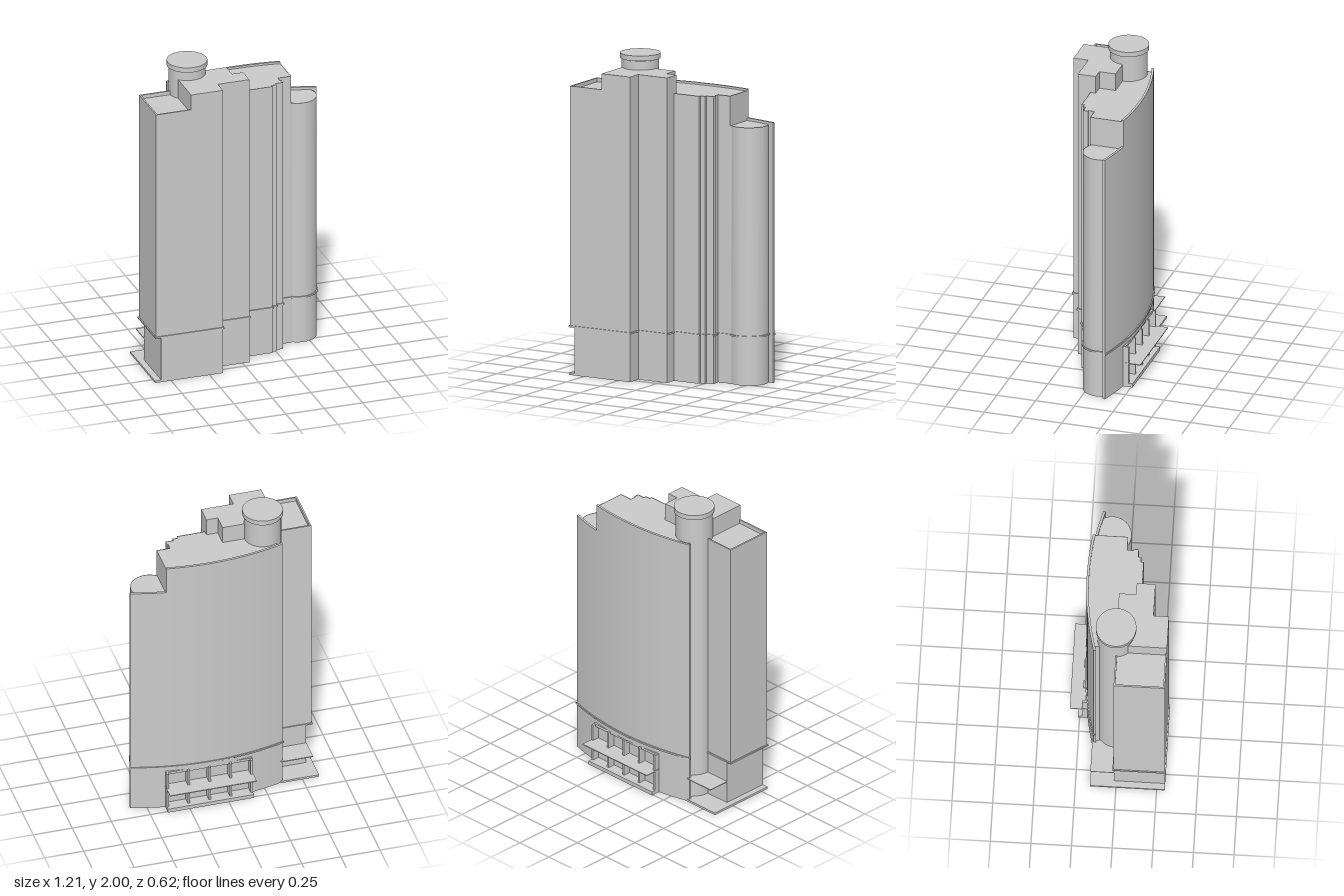
import * as THREE from 'three';

const mat = new THREE.MeshStandardMaterial({ color: 0xcccccc, side: THREE.DoubleSide });

// Curved rear wall: z of its outer face at a given x
const R = 1.69;
const rearZ = (x, inset = 0) => 1.468 - Math.sqrt((R - inset) ** 2 - (x - 0.11) ** 2);
function rearArc(x0, x1, inset = 0, n = 24) {
  return Array.from({ length: n + 1 }, (_, i) => {
    const x = x0 + (x1 - x0) * i / n;
    return [x, rearZ(x, inset)];
  });
}

export function createModel() {
  const model = new THREE.Group();

  function add(name, geometry) {
    const mesh = new THREE.Mesh(geometry, mat);
    mesh.name = name;
    model.add(mesh);
    return mesh;
  }

  // Box given by its limits
  function box(name, x0, x1, y0, y1, z0, z1) {
    const g = new THREE.BoxGeometry(x1 - x0, y1 - y0, z1 - z0);
    add(name, g.translate((x0 + x1) / 2, (y0 + y1) / 2, (z0 + z1) / 2));
  }

  // Solid from a plan outline of [x, z] points
  function prism(name, plan, y0, y1) {
    const shape = new THREE.Shape(plan.map(([x, z]) => new THREE.Vector2(x, z)));
    const g = new THREE.ExtrudeGeometry(shape, { depth: y1 - y0, bevelEnabled: false });
    add(name, g.rotateX(Math.PI / 2).translate(0, y1, 0));
  }

  // Upright sheet along a plan path
  function wall(name, path, y0, y1, smooth = false) {
    const pos = [], idx = [];
    path.forEach(([x, z], i) => {
      pos.push(x, y0, z, x, y1, z);
      const a = 2 * i;
      if (i < path.length - 1) idx.push(a, a + 2, a + 3, a, a + 3, a + 1);
    });
    let g = new THREE.BufferGeometry();
    g.setAttribute('position', new THREE.Float32BufferAttribute(pos, 3));
    g.setIndex(idx);
    if (!smooth) g = g.toNonIndexed();
    g.computeVertexNormals();
    add(name, g);
  }

  // Thin rail of boxes along a plan path
  function rail(name, path, y0, y1, t) {
    const group = new THREE.Group();
    group.name = name;
    for (let i = 0; i < path.length - 1; i++) {
      const [ax, az] = path[i], [bx, bz] = path[i + 1];
      const g = new THREE.BoxGeometry(Math.hypot(bx - ax, bz - az) + t, y1 - y0, t);
      const mesh = new THREE.Mesh(g, mat);
      mesh.position.set((ax + bx) / 2, (y0 + y1) / 2, (az + bz) / 2);
      mesh.rotation.y = -Math.atan2(bz - az, bx - ax);
      group.add(mesh);
    }
    model.add(group);
  }

  // Left wing, with its lower storeys set back at the side
  wall('wingWall', [[-0.37, -0.015], [-0.598, -0.015], [-0.598, 0.3], [-0.37, 0.3]], 0.3, 1.81);
  wall('wingBaseWall', [[-0.37, -0.015], [-0.565, -0.015], [-0.565, 0.3], [-0.37, 0.3]], 0, 0.3);
  prism('wingRoof', [[-0.598, -0.015], [-0.37, -0.015], [-0.37, 0.3], [-0.598, 0.3]], 1.775, 1.785);
  rail('wingParapet', [[-0.37, -0.01], [-0.593, -0.01], [-0.593, 0.295], [-0.37, 0.295]], 1.78, 1.81, 0.01);
  box('wingSoffit', -0.598, -0.56, 0.3, 0.308, -0.015, 0.3);

  // Tall core
  const core = [[-0.37, -0.015], [-0.37, 0.3], [-0.163, 0.3], [-0.163, 0.205], [0.043, 0.205],
    [0.043, 0.09], [-0.03, 0.09], [-0.03, -0.015]];
  wall('coreFront', core.slice(1, 6), 0, 1.91);
  wall('coreTop', [...core, core[0]], 1.77, 1.91);
  prism('coreRoof', core, 1.9, 1.91);

  // Stepped front of the main body
  const steps = [[0.043, 0.122], [0.223, 0.122], [0.223, 0.105], [0.255, 0.105], [0.255, 0.087],
    [0.305, 0.087], [0.305, 0.055], [0.297, 0.055], [0.297, 0.016], [0.382, 0.016]];
  const bodyEnd = [0.382, rearZ(0.382, 0.01)];
  wall('bodyFront', steps, 0, 1.8);
  wall('bodyEnd', [[0.382, 0.016], bodyEnd], 1.6, 1.8);
  wall('bodySide', [[-0.345, rearZ(-0.345, 0.01)], [-0.345, -0.02]], 0, 1.8);
  prism('bodyRoof', [...steps, ...rearArc(0.382, -0.345, 0.008), [-0.345, -0.015],
    [-0.03, -0.015], [-0.03, 0.09], [0.043, 0.09]], 1.785, 1.797);

  // Rounded bay
  const bay = [[0.382, 0.014]];
  for (let i = 0; i <= 28; i++) {
    const a = (124 - 158 * i / 28) * Math.PI / 180;
    bay.push([0.457 + 0.12 * Math.cos(a), -0.087 + 0.12 * Math.sin(a)]);
  }
  wall('bayWall', bay, 0, 1.615, true);
  prism('bayRoof', [...bay, ...rearArc(0.56, 0.382, 0.008, 6)], 1.603, 1.613);

  // Curved rear wall, opened at the entrance
  const slab = (x0, x1, y0, y1) => prism('rearWall',
    [...rearArc(x0, x1), ...rearArc(x1, x0, 0.015)], y0, y1);
  slab(-0.375, -0.16, 0, 1.81);
  slab(-0.16, 0.382, 0.27, 1.81);
  slab(0.382, 0.6, 0, 1.63);

  // Round tower with a cap
  const tower = new THREE.LatheGeometry([[0.115, 0], [0.115, 1.965]]
    .map(([r, y]) => new THREE.Vector2(r, y)), 48);
  add('tower', tower.translate(-0.285, -0.018, 0).translate(0, 0.018, -0.018));
  add('towerCap', new THREE.CylinderGeometry(0.125, 0.125, 0.032, 48).translate(-0.285, 1.984, -0.018));

  // String course around the building
  const y0 = 0.3, y1 = 0.31, t = 0.014;
  rail('wingCourse', [[-0.4, -0.015], [-0.598, -0.015], [-0.598, 0.3], [-0.163, 0.3],
    [-0.163, 0.205], [0.043, 0.205], [0.043, 0.122]], y0, y1, t);
  rail('bodyCourse', steps, y0, y1, t);
  rail('bayCourse', bay, y0, y1, t);
  rail('rearCourse', rearArc(-0.375, 0.598), y0, y1, t);

  // Rear entrance: recessed wall, fins, sill and canopy
  wall('entranceWall', [[0.385, -0.186], [-0.16, -0.186]], 0, 0.28);
  for (let i = 0; i < 5; i++) {
    const x = -0.153 + i * 0.134;
    box('entranceFin', x - 0.007, x + 0.007, 0, 0.27, -0.235, -0.186);
  }
  box('entranceHead', -0.16, 0.39, 0.255, 0.272, -0.215, -0.186);
  box('entranceSill', -0.16, 0.39, 0, 0.025, -0.26, -0.186);
  box('entranceCanopy', -0.163, 0.392, 0.157, 0.163, -0.31, -0.186);

  // Side terrace and its canopy
  box('terrace', -0.605, -0.36, 0, 0.014, -0.16, -0.015);
  box('terraceStrip', -0.605, -0.56, 0, 0.014, -0.015, 0.3);
  box('terraceCanopy', -0.567, -0.36, 0.157, 0.163, -0.16, -0.015);

  return model;
}
